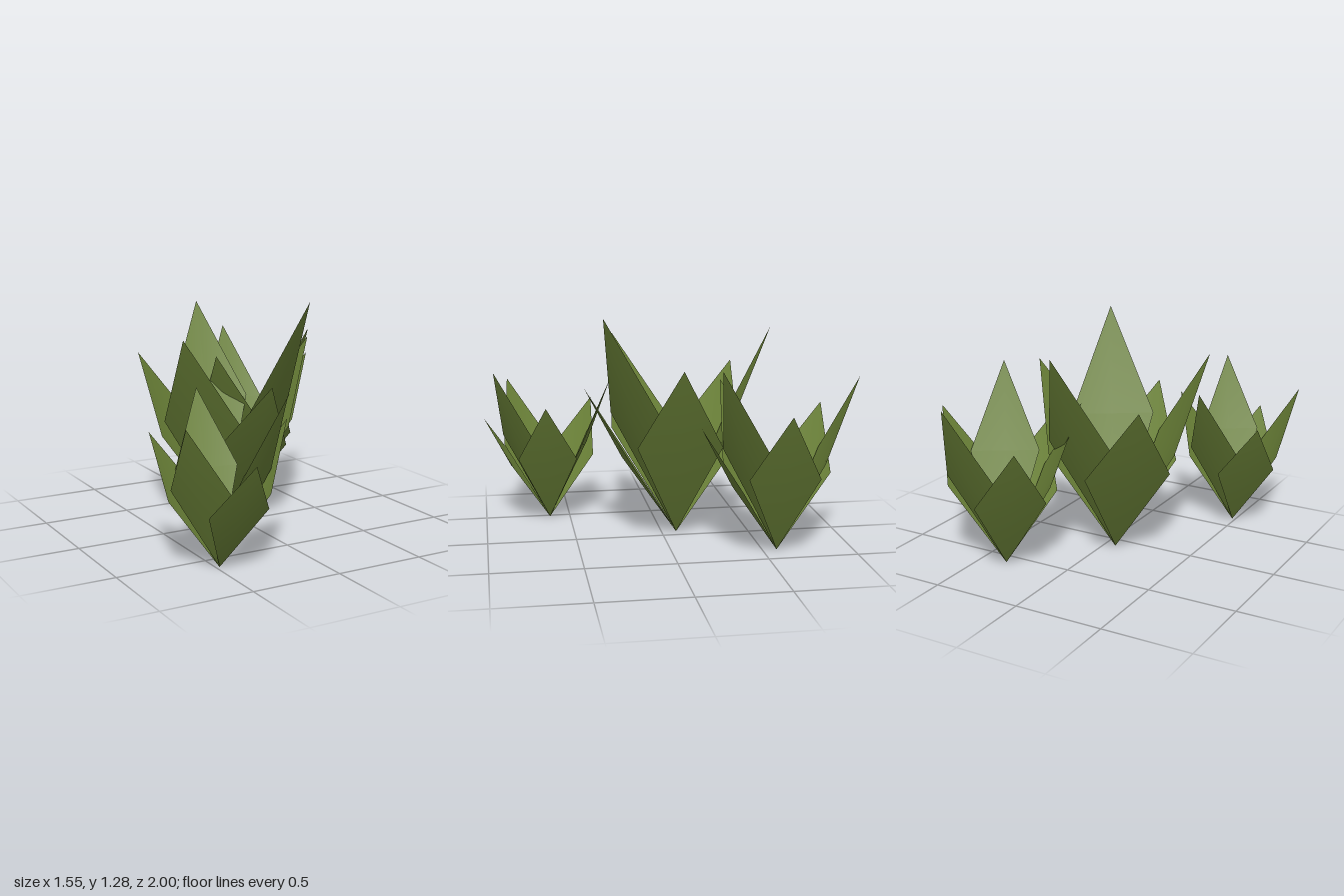
import * as THREE from 'three';

const leafGreen = new THREE.MeshStandardMaterial({ color: 0x6b8238, side: THREE.DoubleSide });
leafGreen.name = 'leafGreen';

const REACH = 0.525; // horizontal distance from root to leaf tip
const HALF_WIDTH = 0.235;
const WIDEST = 0.55; // where along the leaf it is widest
const CUP = 0.03; // outward bulge of the midrib
const GOLDEN_ANGLE = THREE.MathUtils.degToRad(137.5);

// Kite-shaped blade leaning towards +z, slightly cupped along its midrib
function leafGeometry(height) {
  const length = Math.hypot(REACH, height);
  const midY = WIDEST * height;
  const midZ = WIDEST * REACH;
  const geometry = new THREE.BufferGeometry();
  geometry.setAttribute('position', new THREE.Float32BufferAttribute([
    0, 0, 0,
    -HALF_WIDTH, midY, midZ,
    0, midY - CUP * REACH / length, midZ + CUP * height / length,
    HALF_WIDTH, midY, midZ,
    0, height, REACH,
  ], 3));
  geometry.setIndex([0, 2, 1, 0, 3, 2, 1, 2, 4, 2, 3, 4]);
  geometry.computeVertexNormals();
  return geometry;
}

// Six leaves spiralling round the root, each taller than the last
function createPlant() {
  const plant = new THREE.Group();
  for (let i = 0; i < 6; i++) {
    const leaf = new THREE.Mesh(leafGeometry(0.86 + 0.085 * i), leafGreen);
    leaf.name = `leaf${i + 1}`;
    leaf.rotation.y = -GOLDEN_ANGLE * i;
    plant.add(leaf);
  }
  return plant;
}

export function createModel() {
  const model = new THREE.Group();
  model.name = 'leafyPlants';
  // Three plants in a diagonal row
  const plants = [
    ['frontPlant', -0.48, 0.62, 0.72],
    ['middlePlant', -0.065, -0.085, 1],
    ['backPlant', 0.348, -0.58, 0.813],
  ];
  for (const [name, x, z, scale] of plants) {
    const plant = createPlant();
    plant.name = name;
    plant.position.set(x, 0, z);
    plant.scale.setScalar(scale);
    model.add(plant);
  }
  return model;
}
